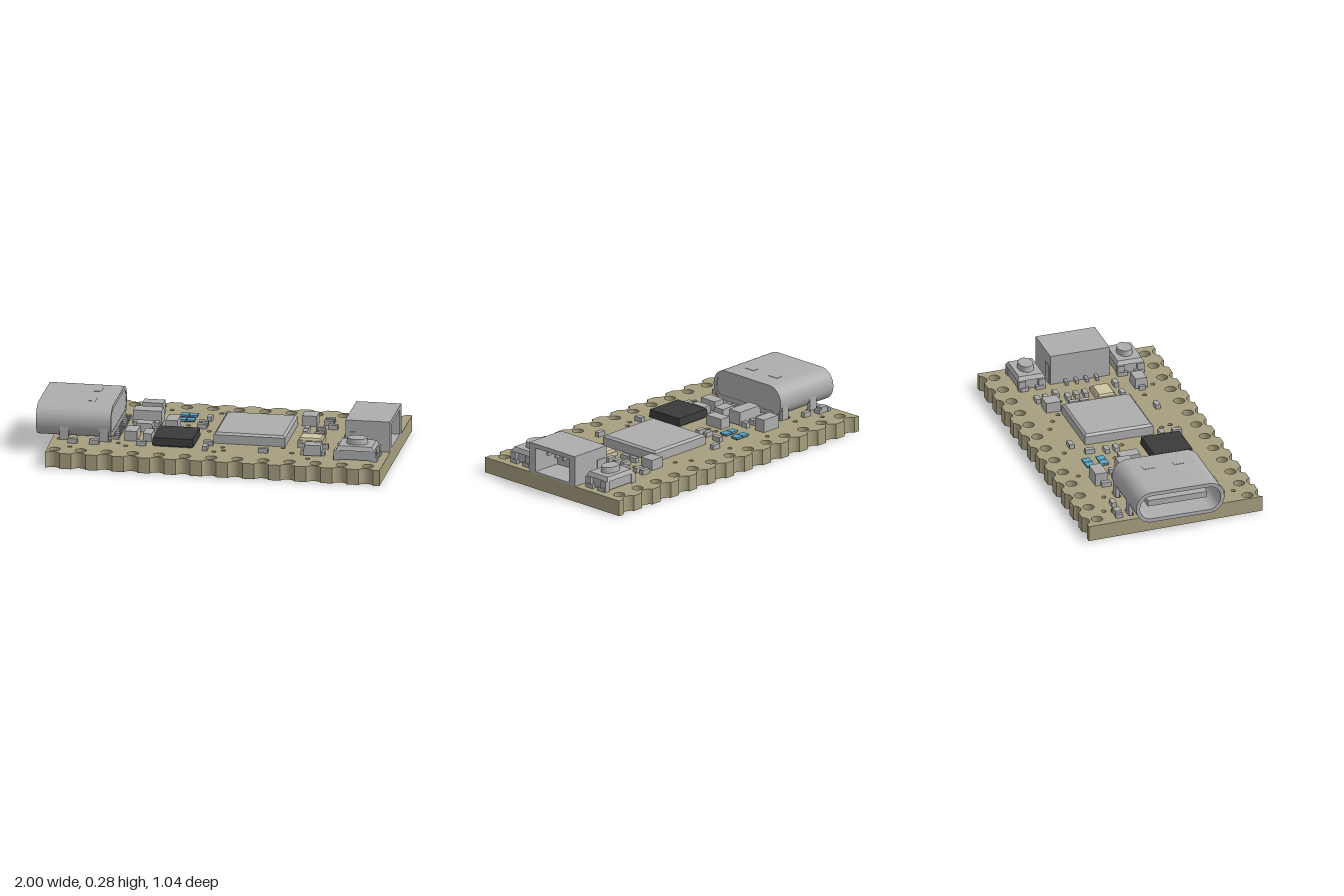
import * as THREE from 'three';
import { toCreasedNormals } from 'three/addons/utils/BufferGeometryUtils.js';

const material = (name, color, side = THREE.FrontSide) => {
  const m = new THREE.MeshStandardMaterial({ color, side });
  m.name = name;
  return m;
};

const TOP = 0.09; // upper face of the circuit board

export function createModel() {
  const model = new THREE.Group();
  model.name = 'microcontrollerBoard';
  const olive = material('board olive', 0xa59e7e);
  const grey = material('component grey', 0xadadad);
  const black = material('chip black', 0x3a3a3a);
  const blue = material('lamp blue', 0x5aa3c6);
  const cream = material('crystal cream', 0xcfc5a4);

  const add = (name, geometry, mat, parent = model) => {
    const mesh = new THREE.Mesh(geometry, mat);
    mesh.name = name;
    parent.add(mesh);
    return mesh;
  };
  const group = (name) => {
    const g = new THREE.Group();
    g.name = name;
    model.add(g);
    return g;
  };
  // Box from its centre on the plan, its plan size and its lower and upper heights
  const box = (name, x, z, w, d, y0, y1, mat = grey, parent = model) => {
    const mesh = add(name, new THREE.BoxGeometry(w, y1 - y0, d), mat, parent);
    mesh.position.set(x, (y0 + y1) / 2, z);
    return mesh;
  };
  // Box whose top is narrower by an inset on all four sides
  const tapered = (name, x, z, w, d, y0, y1, inset, mat = grey, parent = model) => {
    const mesh = box(name, x, z, w, d, y0, y1, mat, parent);
    const p = mesh.geometry.attributes.position;
    for (let i = 0; i < p.count; i++) {
      if (p.getY(i) > 0) {
        p.setX(i, p.getX(i) - Math.sign(p.getX(i)) * inset);
        p.setZ(i, p.getZ(i) - Math.sign(p.getZ(i)) * inset);
      }
    }
    mesh.geometry.computeVertexNormals();
    return mesh;
  };
  const extrude = (shape, depth) => toCreasedNormals(
    new THREE.ExtrudeGeometry(shape, { depth, bevelEnabled: false, curveSegments: 10 }), 0.6);
  const roundRect = (Type, w, h, r, cx = 0, cy = 0) => {
    const s = new Type(), x = w / 2 - r, y = h / 2 - r;
    s.absarc(cx + x, cy + y, r, 0, Math.PI / 2);
    s.absarc(cx - x, cy + y, r, Math.PI / 2, Math.PI);
    s.absarc(cx - x, cy - y, r, Math.PI, Math.PI * 1.5);
    s.absarc(cx + x, cy - y, r, Math.PI * 1.5, Math.PI * 2);
    s.closePath();
    return s;
  };

  // Circuit board with scalloped long edges, pin holes, vias and mounting slots
  const holeX = Array.from({ length: 13 }, (_, i) => -0.86 + i * 0.1485);
  const outline = new THREE.Shape();
  const tilt = 0.388;
  outline.moveTo(-0.935, -0.52);
  holeX.forEach((x) => outline.absarc(x, -0.537, 0.045, Math.PI - tilt, tilt, true));
  outline.lineTo(1, -0.52).lineTo(1, 0.52);
  [...holeX].reverse().forEach((x) => outline.absarc(x, 0.537, 0.045, -tilt, Math.PI + tilt, true));
  outline.lineTo(-0.935, 0.52);
  outline.closePath();
  const drill = (x, z, r) => outline.holes.push(new THREE.Path().absarc(x, -z, r, 0, Math.PI * 2));
  holeX.forEach((x) => [-0.445, 0.445].forEach((z) => drill(x, z, 0.032)));
  const vias = [
    [-0.785, -0.38], [-0.625, -0.325], [-0.34, -0.38], [-0.055, -0.365], [-0.2, -0.115],
    [-0.2, -0.06], [-0.065, -0.03], [0.24, -0.35], [0.325, -0.305], [0.39, -0.25],
    [0.535, -0.19], [0.46, -0.195], [0.395, 0.2], [0.46, 0.285], [0.565, 0.37],
    [0.06, 0.25], [0.075, 0.305], [0.025, 0.335], [-0.53, 0.27], [-0.48, 0.315], [-0.785, 0.385],
  ];
  vias.forEach(([x, z]) => drill(x, z, 0.013));
  const slots = [];
  for (const x of [-0.84, -0.615]) for (const z of [-0.248, 0.248]) slots.push([x, z]);
  slots.forEach(([x, z]) => outline.holes.push(roundRect(THREE.Path, 0.085, 0.034, 0.0165, x, -z)));
  add('circuitBoard', extrude(outline, TOP).rotateX(-Math.PI / 2), olive);

  // USB socket: rounded shell, closed rear, tongue, feet and solder pins
  const usb = group('usbSocket');
  const alongX = (shape, length, x, y) =>
    extrude(shape, length).rotateY(Math.PI / 2).translate(x, y, 0);
  const shell = roundRect(THREE.Shape, 0.52, 0.186, 0.09);
  shell.holes.push(roundRect(THREE.Path, 0.476, 0.142, 0.068));
  add('usbShell', alongX(shell, 0.425, -1, 0.186), grey, usb);
  add('usbRear', alongX(roundRect(THREE.Shape, 0.48, 0.146, 0.07), 0.125, -0.702, 0.186), grey, usb);
  box('usbTongue', -0.82, 0, 0.26, 0.35, 0.168, 0.204, grey, usb);
  slots.forEach(([x, z]) => box('usbFoot', x, z, 0.05, 0.02, 0.03, 0.18, grey, usb));
  box('usbRearSkirt', -0.6, 0, 0.05, 0.44, TOP, 0.13, grey, usb);
  for (const z of [-0.09, 0.09]) {
    box('usbSpring', -0.705, z, 0.04, 0.066, 0.276, 0.281, grey, usb);
  }
  for (let i = 0; i < 12; i++) {
    box('usbPin', -0.558, -0.198 + i * 0.036, 0.04, 0.022, TOP, 0.105, grey, usb);
  }

  // Shielded main chip with a sloping rim
  box('mainChipBase', 0.2, -0.022, 0.405, 0.405, TOP, 0.14);
  tapered('mainChipLid', 0.2, -0.022, 0.405, 0.405, 0.14, 0.152, 0.013);

  // Black chip
  box('blackChipFoot', -0.215, 0.187, 0.21, 0.21, TOP, 0.1, black);
  tapered('blackChip', -0.215, 0.187, 0.235, 0.235, 0.098, 0.142, 0.005, black);

  // Blue lamps with a gap between their two halves
  for (const z of [-0.282, -0.197]) {
    box('lampBase', -0.223, z, 0.09, 0.04, TOP, 0.096, black);
    for (const x of [-0.248, -0.198]) box('lampFace', x, z, 0.046, 0.046, 0.096, 0.104, blue);
  }

  // Crystal
  box('crystalBase', 0.535, 0.066, 0.142, 0.112, TOP, 0.114, cream);
  tapered('crystalLid', 0.535, 0.066, 0.128, 0.098, 0.114, 0.127, 0.006, cream);

  // Battery connector: hollow, open to +x
  const jack = group('batteryConnector');
  box('connectorRear', 0.785, 0, 0.08, 0.35, TOP, 0.267, grey, jack);
  box('connectorRoof', 0.91, 0, 0.18, 0.35, 0.242, 0.267, grey, jack);
  box('connectorFloor', 0.91, 0, 0.18, 0.32, TOP, 0.102, grey, jack);
  for (const s of [-1, 1]) {
    box('connectorWall', 0.91, s * 0.152, 0.18, 0.046, TOP, 0.245, grey, jack);
    box('connectorTab', 0.79, s * 0.165, 0.06, 0.03, TOP, 0.2, grey, jack);
  }
  for (const z of [-0.09, -0.03, 0.03, 0.09]) {
    box('connectorContact', 0.885, z, 0.12, 0.012, 0.193, 0.215, grey, jack);
    box('connectorLeg', 0.728, z, 0.05, 0.016, TOP, 0.112, grey, jack);
  }

  // Push buttons: body, metal cover, corner legs and an oval plunger
  for (const s of [-1, 1]) {
    const b = group('pushButton'), z = s * 0.292, x = 0.834;
    box('buttonBody', x, z, 0.2, 0.145, 0.095, 0.15, grey, b);
    tapered('buttonCover', x, z, 0.215, 0.165, 0.15, 0.174, 0.012, grey, b);
    for (const i of [-1, 1]) {
      for (const j of [-1, 1]) {
        box('buttonLeg', x + i * 0.105, z + j * 0.058, 0.03, 0.04, TOP, 0.15, grey, b);
        box('buttonToe', x + i * 0.115, z + j * 0.045, 0.02, 0.05, TOP, 0.112, grey, b);
      }
    }
    const plunger = add('buttonPlunger', new THREE.CylinderGeometry(0.92, 1, 0.034, 24), grey, b);
    plunger.scale.set(0.062, 1, 0.045);
    plunger.position.set(x, 0.189, z);
  }

  // Regulator with five legs
  const regulator = group('regulator');
  tapered('regulatorBody', -0.427, -0.122, 0.17, 0.094, 0.1, 0.175, 0.005, grey, regulator);
  for (const x of [-0.487, -0.427, -0.367]) {
    box('regulatorLeg', x, -0.187, 0.028, 0.044, TOP, 0.12, grey, regulator);
    if (x !== -0.427) box('regulatorLeg', x, -0.06, 0.028, 0.044, TOP, 0.12, grey, regulator);
  }

  // Diodes with end terminals
  for (const [x, z, h] of [[-0.42, 0.03, 0.145], [0.583, 0.292, 0.155]]) {
    tapered('diodeBody', x, z, 0.1, 0.075, 0.095, h, 0.004);
    for (const i of [-1, 1]) box('diodeTerminal', x + i * 0.057, z, 0.022, 0.035, TOP, 0.115);
  }

  // Power lamp with end caps
  box('powerLamp', -0.845, -0.322, 0.05, 0.035, TOP, 0.125);
  for (const i of [-1, 1]) box('powerLampCap', -0.845 + i * 0.034, -0.322, 0.02, 0.042, TOP, 0.112);

  // Larger passive parts: x, z, width, depth, top
  const blocks = [
    [-0.428, -0.292, 0.118, 0.07, 0.165], [-0.275, -0.06, 0.068, 0.116, 0.15],
    [-0.467, 0.168, 0.07, 0.11, 0.147], [-0.374, 0.165, 0.05, 0.1, 0.135],
    [0.47, -0.263, 0.085, 0.088, 0.15],
  ];
  for (const [x, z, w, d, top] of blocks) box('passiveBlock', x, z, w, d, TOP, top);

  // Small passive parts, lying along x or along z
  const flat = [
    [-0.73, -0.308], [0.005, -0.308], [-0.115, -0.137], [-0.115, -0.08], [0.575, -0.31],
    [0.575, -0.26], [0.61, -0.19], [0.55, -0.138], [0.562, -0.085], [0.562, -0.032],
    [0.5, 0.167], [0.622, 0.167], [0.3, 0.302], [-0.025, 0.22], [-0.78, 0.312],
    [-0.658, 0.312], [-0.395, 0.29],
  ];
  const upright = [[-0.5, -0.27], [-0.097, -0.23], [0.475, -0.13], [0.475, -0.067], [-0.028, 0.308]];
  flat.forEach(([x, z]) => box('chipResistor', x, z, 0.054, 0.027, TOP, 0.117));
  upright.forEach(([x, z]) => box('chipCapacitor', x, z, 0.027, 0.054, TOP, 0.117));

  return model;
}
